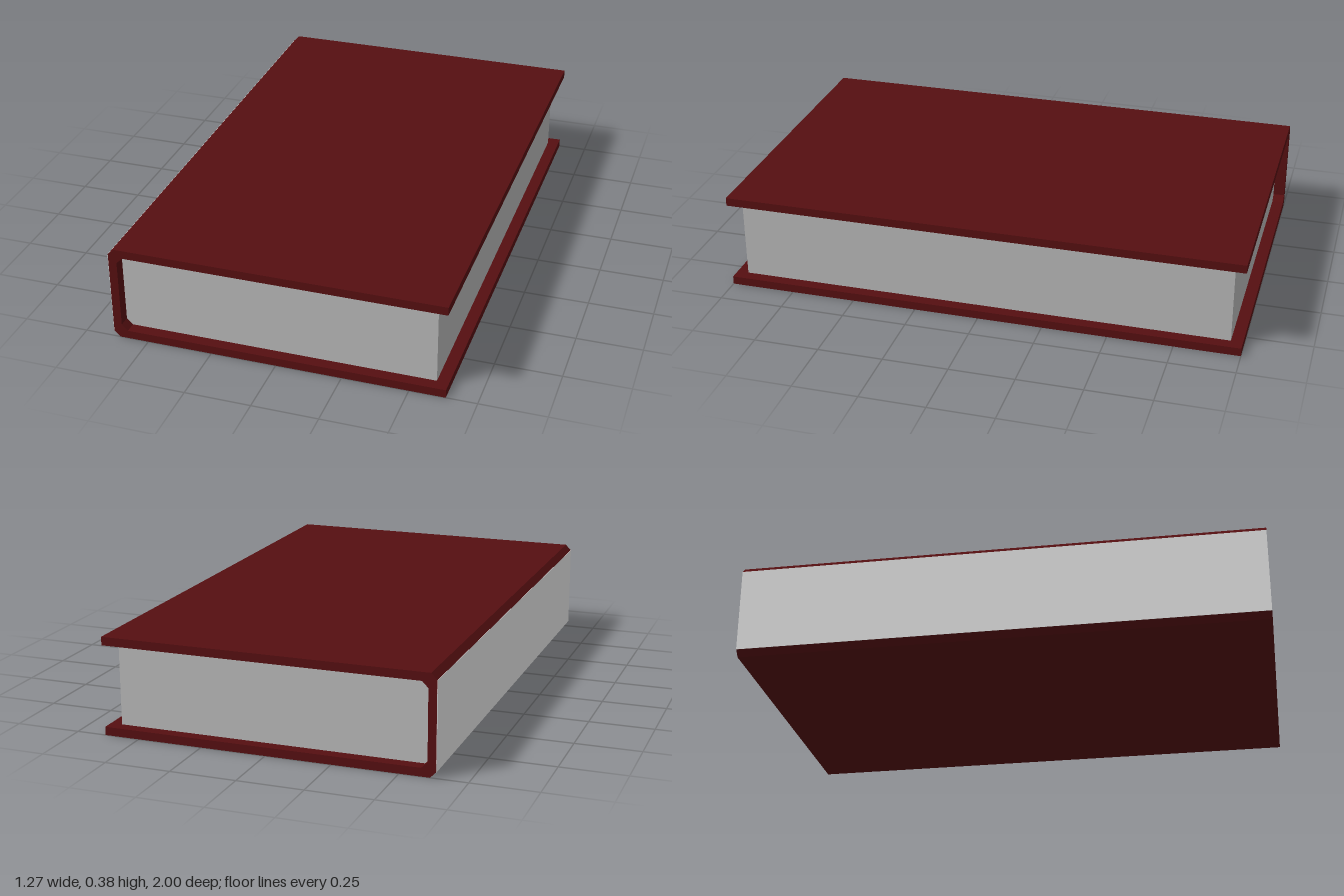
import * as THREE from 'three';

const H = 0.376;       // overall height
const W = 0.635;       // half width
const T = 0.032;       // cover board thickness
const BEVEL = 0.023;   // spine corner bevel

const coverRed = new THREE.MeshStandardMaterial({ color: 0x560f11 });
const pageGrey = new THREE.MeshStandardMaterial({ color: 0xb8b8b8 });
const spinePale = new THREE.MeshStandardMaterial({ color: 0xe7e7e7 });
coverRed.name = 'coverRed';
pageGrey.name = 'pageGrey';
spinePale.name = 'spinePale';

// Extrude an x/y outline along z, centred on z = 0
function extruded(name, points, depth, material) {
  const shape = new THREE.Shape(points.map(([x, y]) => new THREE.Vector2(x, y)));
  const geometry = new THREE.ExtrudeGeometry(shape, { depth, bevelEnabled: false });
  geometry.translate(0, 0, -depth / 2);
  const mesh = new THREE.Mesh(geometry, material);
  mesh.name = name;
  return mesh;
}

// Edge with two bevelled corners on the spine side, from bottom to top
function spineEdge(x, bottom, top) {
  return [
    [x + BEVEL, bottom], [x, bottom + BEVEL],
    [x, top - BEVEL], [x + BEVEL, top],
  ];
}

export function createModel() {
  const book = new THREE.Group();
  book.name = 'book';

  // Wrap-around cover: bottom board, spine and top board in one profile
  const outer = spineEdge(-W, 0, H);
  const inner = spineEdge(-W + T, T, H - T);
  const profile = [
    ...outer, [W, H], [W, H - T],
    ...inner.slice().reverse(), [W, T], [W, 0],
  ];
  book.add(extruded('cover', profile, 2, coverRed));

  // Page block, set back from the three open edges
  book.add(extruded('pages', [...inner, [0.59, H - T], [0.59, T]], 1.91, pageGrey));

  // Pale face on the outside of the spine
  const spine = new THREE.Mesh(
    new THREE.BoxGeometry(0.002, H - 2 * BEVEL, 2), spinePale);
  spine.position.set(-W, H / 2, 0);
  spine.name = 'spineFace';
  book.add(spine);

  return book;
}
